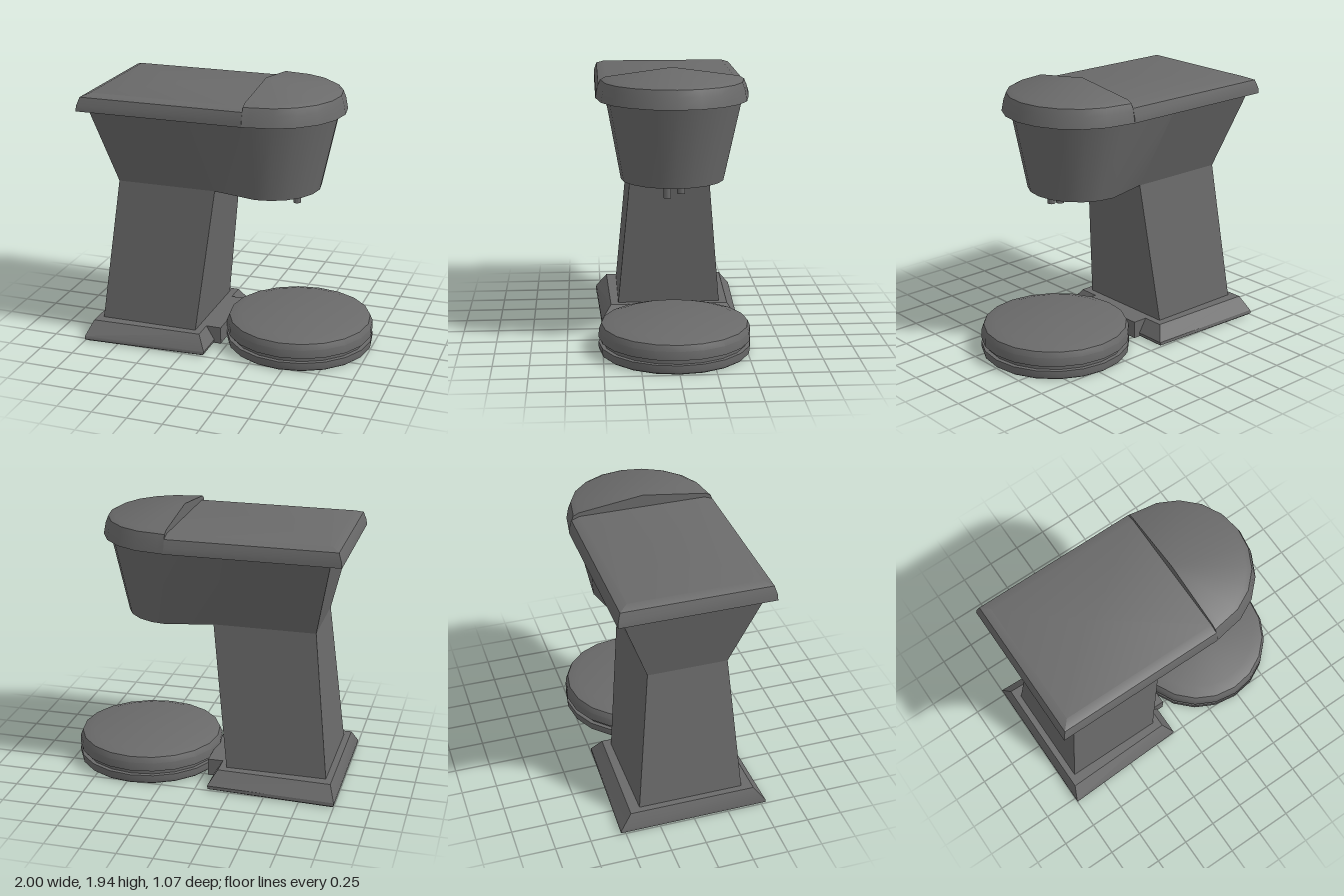
import * as THREE from 'three';
import { toCreasedNormals } from 'three/addons/utils/BufferGeometryUtils.js';

const material = new THREE.MeshStandardMaterial({ color: 0x6a6a6a });

// Rectangle outline seen from above, with its own half width at each end
const rect = (x0, x1, w0, w1 = w0) => [[x1, w1], [x1, -w1], [x0, -w0], [x0, w0]];

// Half-ellipse around (cx, cz) towards +x, closed by a straight back edge at x = back
function halfRound(cx, cz, rx, rz, back, backWidth, steps = 10) {
  const pts = [];
  for (let i = 0; i <= steps; i++) {
    const a = Math.PI * (i / steps - 0.5);
    pts.push([cx + rx * Math.cos(a), cz - rz * Math.sin(a)]);
  }
  return [...pts, [back, -backWidth], [back, backWidth]];
}

// Skin over [height, outline] sections; each end may close to a centre point
function loft(sections, bottom, top) {
  const n = sections[0][1].length, last = sections.length - 1;
  const at = (s, j) => {
    const [x, z] = sections[s][1][j % n];
    return [x, sections[s][0], z];
  };
  const pos = [];
  for (let j = 0; j < n; j++) {
    if (bottom) pos.push(...bottom, ...at(0, j + 1), ...at(0, j));
    for (let s = 0; s < last; s++) {
      const a = at(s, j), b = at(s, j + 1), c = at(s + 1, j + 1), d = at(s + 1, j);
      pos.push(...a, ...b, ...c, ...a, ...c, ...d);
    }
    if (top) pos.push(...top, ...at(last, j), ...at(last, j + 1));
  }
  const g = new THREE.BufferGeometry();
  g.setAttribute('position', new THREE.Float32BufferAttribute(pos, 3));
  return g;
}

export function createModel() {
  const model = new THREE.Group();
  model.name = 'coffeeMachine';
  const add = (name, geometry, x = 0, y = 0, z = 0) => {
    const mesh = new THREE.Mesh(toCreasedNormals(geometry, 0.45), material);
    mesh.name = name;
    mesh.position.set(x, y, z);
    model.add(mesh);
  };

  // Foot with a stepped, pyramid-shaped hollow below
  add('base', loft([
    [0.05, rect(-0.81, -0.27, 0.35, 0.33)],
    [0.05, rect(-0.86, -0.23, 0.4, 0.37)],
    [0, rect(-0.98, -0.11, 0.52, 0.48)],
    [0.012, rect(-1, -0.095, 0.535, 0.5)],
    [0.035, rect(-1, -0.09, 0.53, 0.5)],
    [0.135, rect(-0.96, -0.15, 0.45, 0.43)],
    [0.135, rect(-0.915, -0.2, 0.375)],
  ], [-0.55, 0.34, 0]));

  // Leaning column
  add('column', loft([
    [0.135, rect(-0.915, -0.2, 0.375)],
    [1.172, rect(-0.8, -0.08, 0.28)],
  ]));

  // Bridge from the foot to the drip tray, with a narrow tongue under the tray
  const bridge = [[0.14, 0.12], [0.14, -0.12], [-0.04, -0.12], [-0.04, -0.28],
    [-0.2, -0.28], [-0.2, 0.28], [-0.04, 0.28], [-0.04, 0.12]];
  add('trayBridge', loft([[0.01, bridge], [0.135, bridge]], [-0.1, 0.01, 0], [-0.1, 0.135, 0]));

  // Round drip tray with a groove, hollow below
  const trayProfile = [
    [0, 0.17], [0.46, 0.17], [0.46, 0], [0.515, 0], [0.525, 0.008], [0.53, 0.03], [0.53, 0.065],
    [0.5, 0.065], [0.5, 0.1], [0.53, 0.1], [0.527, 0.16], [0.51, 0.2], [0.43, 0.225], [0, 0.225],
  ].map(([r, y]) => new THREE.Vector2(r, y));
  add('dripTray', new THREE.LatheGeometry(trayProfile, 20), 0.47);

  // Flat-sided flare above the column
  add('headRear', loft([
    [1.172, rect(-0.8, -0.08, 0.28)],
    [1.735, rect(-0.92, -0.2, 0.49)],
  ]));

  // Rounded front of the head, slightly fuller on its right side
  add('headFront', loft([
    [1.172, halfRound(0.24, 0, 0.36, 0.36, -0.08, 0.28)],
    [1.735, halfRound(0.23, -0.012, 0.49, 0.473, -0.2, 0.49)],
  ], [0.2, 1.172, 0]));

  // Flat rear lid with softened edges
  add('rearLid', loft([
    [1.73, rect(-1, 0.2, 0.53)],
    [1.77, rect(-0.995, 0.2, 0.528)],
    [1.828, rect(-0.975, 0.2, 0.51)],
    [1.85, rect(-0.92, 0.2, 0.45)],
  ], [-0.4, 1.73, 0], [-0.4, 1.85, 0]));

  // Rounded front lid, rising to a peak at its rear edge
  const lidOutline = (r) => halfRound(0.25, 0, r - 0.01, r - 0.01, 0.2, r);
  add('frontLid', loft([
    [1.73, lidOutline(0.53)],
    [1.81, lidOutline(0.515)],
    [1.858, lidOutline(0.497)],
    [1.878, lidOutline(0.46)],
  ], [0.3, 1.73, 0], [0.2, 1.94, 0]));

  // Pair of spouts under the head
  for (const [z, low] of [[0.05, 1.077], [-0.045, 1.107]]) {
    const h = 1.19 - low;
    add('spout', new THREE.CylinderGeometry(0.027, 0.027, h, 12), 0.45, low + h / 2, z);
  }
  return model;
}
